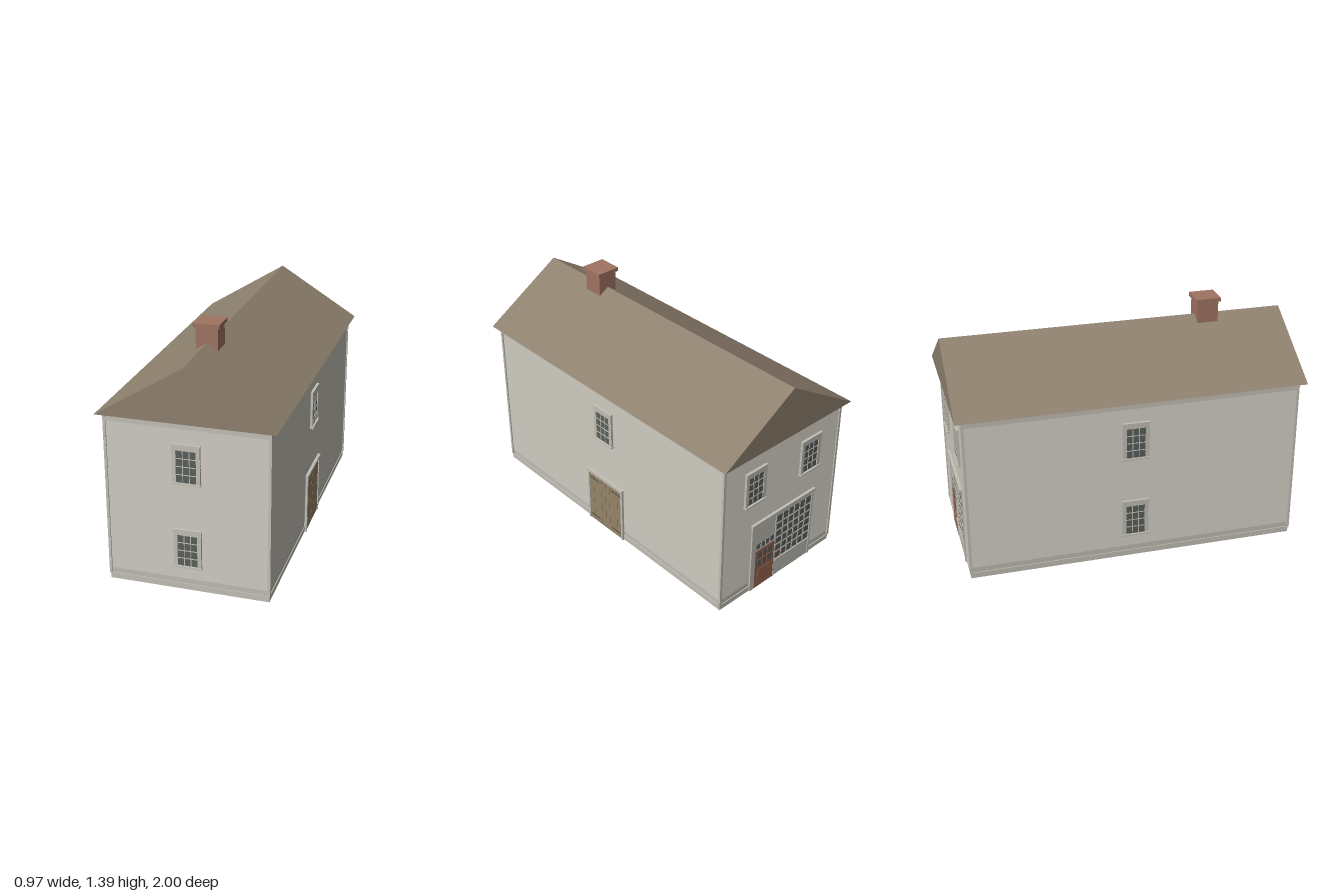
import * as THREE from 'three';

const mat = (name, color, side = THREE.FrontSide) => {
  const m = new THREE.MeshStandardMaterial({ color, side });
  m.name = name;
  return m;
};

const SIDING = mat('siding', 0xbfbcb3, THREE.DoubleSide);
const TRIM = mat('trim', 0xc2bfb5);
const ROOF = mat('roofing', 0x8f816f);
const BRICK = mat('brick', 0xa07463);
const GLASS = mat('glass', 0x5a605c);
const PLANK = mat('doorPlanks', 0x958469);
const IRON = mat('iron', 0x55504a);
const RED = mat('shopDoorRed', 0x9a6551);

// Wall plane half sizes and heights
const HX = 0.44, HZ = 0.95, CORNER = 0.015;
const BASE = 0.035, EAVE = 0.985, FRIEZE = 0.942;

// Box given by its extents: across, up and outward
function box(parent, name, material, x0, x1, y0, y1, z0, z1) {
  const mesh = new THREE.Mesh(new THREE.BoxGeometry(x1 - x0, y1 - y0, z1 - z0), material);
  mesh.position.set((x0 + x1) / 2, (y0 + y1) / 2, (z0 + z1) / 2);
  mesh.name = name;
  parent.add(mesh);
  return mesh;
}

function group(parent, name) {
  const g = new THREE.Group();
  g.name = name;
  parent.add(g);
  return g;
}

// Overlapping horizontal boards, each leaning outward at its lower edge
function clapboards(halfWidth) {
  const pos = [], y0 = 0.068, count = 50, pitch = (FRIEZE - y0) / count;
  const quad = (ya, da, yb, db) => {
    const w = halfWidth;
    pos.push(-w, ya, da, w, ya, da, w, yb, db, -w, ya, da, w, yb, db, -w, yb, db);
  };
  quad(BASE, 0.006, y0, 0.006);
  for (let i = 0; i < count; i++) {
    const y = y0 + i * pitch;
    quad(y, 0.006, y, 0.01);
    quad(y, 0.01, y + pitch, 0.006);
  }
  const geo = new THREE.BufferGeometry();
  geo.setAttribute('position', new THREE.Float32BufferAttribute(pos, 3));
  geo.computeVertexNormals();
  return geo;
}

// Glass sheet crossed by glazing bars
function panes(parent, x0, x1, y0, y1, cols, rows, d, barMat, t = 0.004) {
  box(parent, 'glass', GLASS, x0, x1, y0, y1, d - 0.004, d);
  for (let i = 1; i < cols; i++) {
    const x = x0 + (x1 - x0) * i / cols;
    box(parent, 'glazingBar', barMat, x - t / 2, x + t / 2, y0, y1, d, d + 0.003);
  }
  for (let i = 1; i < rows; i++) {
    const y = y0 + (y1 - y0) * i / rows;
    box(parent, 'glazingBar', barMat, x0, x1, y - t / 2, y + t / 2, d, d + 0.0028);
  }
}

// Framed window with twelve panes, sill and head
function sashWindow(parent, x, y) {
  const w = group(parent, 'window');
  w.position.set(x, y, 0);
  for (const s of [-1, 1]) {
    const a = s * 0.055, b = s * 0.077;
    box(w, 'windowJamb', TRIM, Math.min(a, b), Math.max(a, b), 0.008, 0.222, 0, 0.022);
  }
  box(w, 'windowHead', TRIM, -0.055, 0.055, 0.192, 0.222, 0, 0.022);
  box(w, 'windowCap', TRIM, -0.079, 0.079, 0.222, 0.227, 0, 0.024);
  box(w, 'windowSill', TRIM, -0.081, 0.081, 0, 0.009, 0, 0.029);
  panes(w, -0.055, 0.055, 0.009, 0.192, 3, 4, 0.017, TRIM);
}

// Plank double door with strap hinges
function barnDoor(parent) {
  const d = group(parent, 'sideDoor');
  for (const s of [-1, 1]) {
    const span = (name, m, a, b, ...rest) =>
      box(d, name, m, Math.min(s * a, s * b), Math.max(s * a, s * b), ...rest);
    span('doorJamb', TRIM, 0.141, 0.156, 0, 0.346, 0, 0.022);
    [[0.001, 0.035], [0.037, 0.105], [0.107, 0.141]].forEach(([a, b]) =>
      span('doorPlank', PLANK, a, b, 0, 0.346, 0, 0.016));
    for (const y of [0.035, 0.314]) span('strapHinge', IRON, 0.056, 0.141, y - 0.003, y + 0.003, 0.016, 0.019);
  }
  box(d, 'doorGap', IRON, -0.141, 0.141, 0, 0.346, 0, 0.012);
  box(d, 'doorHead', TRIM, -0.156, 0.156, 0.346, 0.36, 0, 0.022);
  box(d, 'doorCap', TRIM, -0.16, 0.16, 0.36, 0.37, 0, 0.026);
}

// Shop front: glazed door with transom beside a large window
function shopFront(parent) {
  const s = group(parent, 'shopFront');
  box(s, 'shopPanel', TRIM, -0.22, 0.275, 0, 0.462, 0, 0.013);
  box(s, 'shopCornice', TRIM, -0.226, 0.281, 0.462, 0.478, 0, 0.024);
  box(s, 'shopPost', TRIM, -0.22, -0.186, 0, 0.462, 0.013, 0.017);
  box(s, 'shopPost', TRIM, -0.032, -0.024, 0, 0.462, 0.013, 0.017);
  box(s, 'shopPost', TRIM, 0.262, 0.275, 0, 0.462, 0.013, 0.017);
  box(s, 'shopDoor', RED, -0.186, -0.032, 0, 0.268, 0.01, 0.015);
  panes(s, -0.166, -0.052, 0.15, 0.25, 3, 2, 0.016, RED, 0.006);
  box(s, 'doorLowerPanel', RED, -0.162, -0.056, 0.03, 0.125, 0.015, 0.018);
  panes(s, -0.178, -0.04, 0.282, 0.315, 4, 1, 0.015, TRIM, 0.006);
  panes(s, -0.02, 0.256, 0.125, 0.435, 6, 6, 0.015, TRIM, 0.008);
  box(s, 'shopSill', TRIM, -0.024, 0.262, 0.115, 0.125, 0.013, 0.022);
}

// One wall, built facing +z and then turned into place
function wall(parent, name, halfWidth, dist, angle, baseExtra) {
  const pivot = group(parent, name);
  pivot.rotation.y = angle;
  const f = group(pivot, name + 'Face');
  f.position.z = dist;
  const shell = new THREE.Mesh(new THREE.PlaneGeometry(halfWidth * 2, EAVE), SIDING);
  shell.position.y = EAVE / 2;
  shell.name = 'wallShell';
  f.add(shell);
  const boards = new THREE.Mesh(clapboards(halfWidth), SIDING);
  boards.name = 'clapboards';
  f.add(boards);
  const b = halfWidth + baseExtra;
  box(f, 'baseBoard', TRIM, -b, b, 0, 0.018, 0, 0.009);
  box(f, 'baseBoardUpper', TRIM, -b, b, 0.018, BASE, 0, 0.011);
  box(f, 'frieze', TRIM, -halfWidth, halfWidth, FRIEZE, EAVE, 0, 0.012);
  return f;
}

export function createModel() {
  const model = new THREE.Group();
  model.name = 'house';
  const UPPER = 0.633, LOWER = 0.141;

  // Walls and their openings
  const front = wall(model, 'frontWall', HX, HZ, 0, 0.01);
  const back = wall(model, 'backWall', HX, HZ, Math.PI, 0.01);
  const left = wall(model, 'leftWall', HZ, HX, Math.PI / 2, 0);
  const right = wall(model, 'rightWall', HZ, HX, -Math.PI / 2, 0);
  for (const f of [front, right]) {
    sashWindow(f, 0, UPPER);
    sashWindow(f, 0, LOWER);
  }
  sashWindow(left, 0, UPPER);
  barnDoor(left);
  for (const s of [-1, 1]) sashWindow(back, s * 0.216, UPPER);
  shopFront(back);

  // Corner boards
  for (const sx of [-1, 1]) for (const sz of [-1, 1]) {
    const c = box(model, 'cornerBoard', TRIM, 0, CORNER, BASE, EAVE, 0, CORNER);
    c.position.x = sx * (HX + CORNER / 2);
    c.position.z = sz * (HZ + CORNER / 2);
  }

  // Roof: solid gabled prism
  const gable = new THREE.Shape([
    new THREE.Vector2(-0.487, EAVE), new THREE.Vector2(0.487, EAVE), new THREE.Vector2(0, 1.286),
  ]);
  const roof = new THREE.Mesh(new THREE.ExtrudeGeometry(gable, { depth: 2, bevelEnabled: false }), ROOF);
  roof.position.z = -1;
  roof.name = 'roof';
  model.add(roof);

  // Chimney
  const chimney = group(model, 'chimney');
  chimney.position.z = 0.54;
  box(chimney, 'chimneyStack', BRICK, -0.061, 0.061, 1.245, 1.372, -0.061, 0.061);
  box(chimney, 'chimneyCap', BRICK, -0.073, 0.073, 1.372, 1.394, -0.073, 0.073);

  return model;
}
